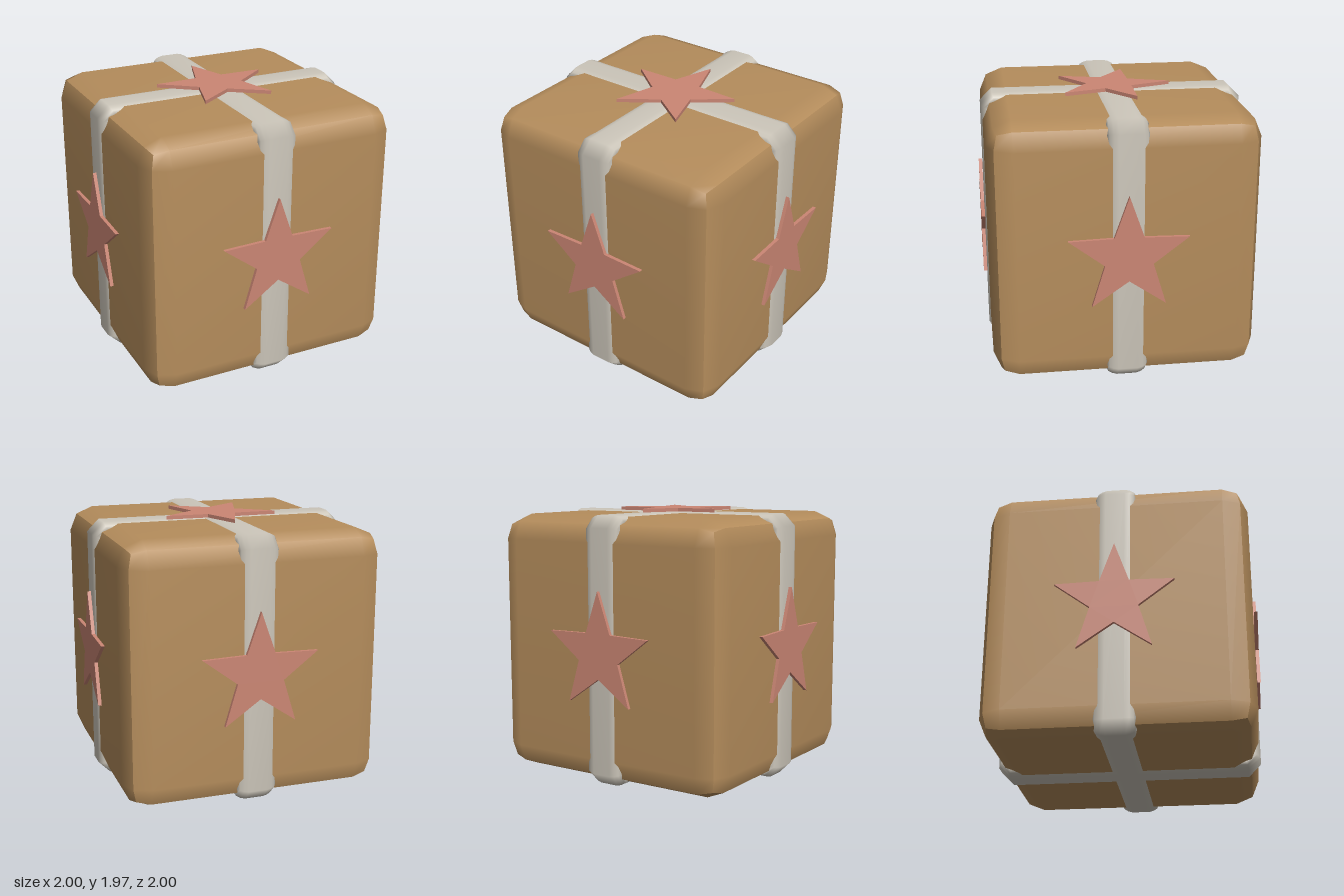
import * as THREE from 'three';

const HALF = 0.96;      // half size of the box
const RADIUS = 0.18;    // edge rounding
const CENTER_Y = 0.977;

const mat = (name, color, side = THREE.FrontSide) => {
  const m = new THREE.MeshStandardMaterial({ color, side });
  m.name = name;
  return m;
};

// Cube with each edge rounded by two facets; sides keep their own normals,
// while back, top and front flow smoothly into each other.
function boxGeometry() {
  const g = new THREE.BoxGeometry(1, 1, 1, 3, 3, 3);
  const p = g.attributes.position;
  const flat = HALF - RADIUS;
  const v = new THREE.Vector3();
  const wrapped = [];
  for (let i = 0; i < p.count; i++) {
    v.fromBufferAttribute(p, i);
    const onSide = Math.abs(g.attributes.normal.getX(i)) > 0.5;
    if (!onSide && v.y > 0.49 && Math.abs(v.z) > 0.49) wrapped.push(i);
    const core = new THREE.Vector3(Math.sign(v.x), Math.sign(v.y), Math.sign(v.z)).multiplyScalar(flat);
    const out = new THREE.Vector3(...v.toArray().map(c => (Math.abs(c) > 0.4 ? Math.sign(c) : 0)));
    v.copy(core).addScaledVector(out.normalize(), RADIUS);
    p.setXYZ(i, v.x, v.y, v.z);
  }
  g.computeVertexNormals();
  const n = g.attributes.normal;
  for (const i of wrapped) {
    v.set(n.getX(i), 0.7, 0.7 * Math.sign(p.getZ(i))).normalize();
    n.setXYZ(i, v.x, v.y, v.z);
  }
  return g;
}

// Band with a soft cross-section swept round an octagonal loop in the x-y plane.
function ribbonGeometry() {
  const side = [[0.07, 0], [0.105, 0.009], [0.133, 0.024], [0.146, 0.046], [0.135, 0.085]];
  const section = [...side.map(([w, d]) => [-w, d]).reverse(), ...side];
  const outer = 0.972, cut = 0.885, mitre = Math.tan(Math.PI / 8);
  const pos = [], idx = [];
  const count = section.length;
  for (let k = 0; k < 8; k++) {
    const turn = Math.floor(k / 2) * Math.PI / 2;
    for (const [w, d] of section) {
      const a = outer - d, b = cut - d * mitre;
      const [x, y] = k % 2 ? [b, a] : [a, b];
      pos.push(x * Math.cos(turn) - y * Math.sin(turn), x * Math.sin(turn) + y * Math.cos(turn), w);
    }
    for (let j = 0; j < count - 1; j++) {
      const a = k * count + j, b = ((k + 1) % 8) * count + j;
      idx.push(a, b, a + 1, b, b + 1, a + 1);
    }
  }
  // Reverse the winding so that the faces look outwards
  for (let i = 0; i < idx.length; i += 3) [idx[i + 1], idx[i + 2]] = [idx[i + 2], idx[i + 1]];
  const g = new THREE.BufferGeometry();
  g.setAttribute('position', new THREE.Float32BufferAttribute(pos, 3));
  g.setIndex(idx);
  g.computeVertexNormals();
  return g;
}

// Flat five-pointed star plate, standing off the box surface.
function starGeometry() {
  const pts = [];
  for (let i = 0; i < 10; i++) {
    const r = i % 2 ? 0.18 : 0.447;
    const a = Math.PI / 2 + i * Math.PI / 5;
    pts.push(new THREE.Vector2(r * Math.cos(a), r * Math.sin(a)));
  }
  const g = new THREE.ExtrudeGeometry(new THREE.Shape(pts), { depth: 0.026, bevelEnabled: false });
  return g.translate(0, 0, 0.974);
}

export function createModel() {
  const cardboard = mat('cardboard brown', 0xb58d5c);
  const tape = mat('ribbon grey', 0xccc6ba, THREE.DoubleSide);
  const coral = mat('star coral', 0xcb8674);

  const model = new THREE.Group();
  model.name = 'giftBox';
  const add = (name, geometry, material, rx = 0, ry = 0) => {
    const mesh = new THREE.Mesh(geometry, material);
    mesh.name = name;
    mesh.position.y = CENTER_Y;
    mesh.rotation.set(rx, ry, 0);
    model.add(mesh);
  };

  add('box', boxGeometry(), cardboard);

  // Two crossing ribbons
  const ribbon = ribbonGeometry();
  add('ribbonSideToSide', ribbon, tape);
  add('ribbonFrontToBack', ribbon, tape, 0, Math.PI / 2);

  // Stars on the four walls and the top
  const star = starGeometry();
  ['frontStar', 'leftStar', 'backStar', 'rightStar'].forEach((name, i) =>
    add(name, star, coral, 0, i * Math.PI / 2));
  add('topStar', star, coral, -Math.PI / 2);

  return model;
}
